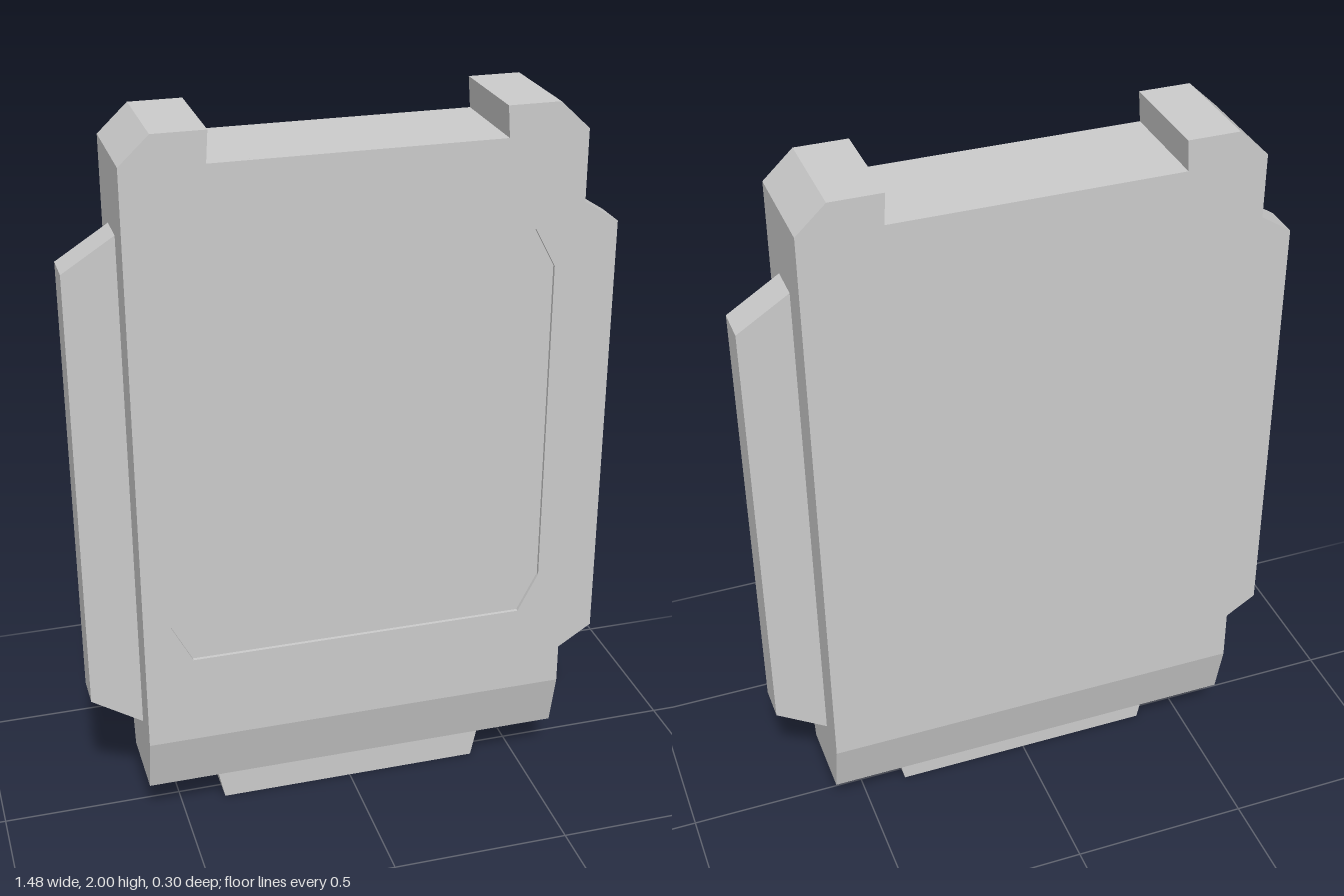
import * as THREE from 'three';

const HALF = 0.148;   // half thickness of the case
const RECESS = 0.01;  // depth of the front panel recess

export function createModel() {
  const model = new THREE.Group();
  model.name = 'case';
  const material = new THREE.MeshStandardMaterial({ color: 0xcccccc, flatShading: true });

  const shapeOf = (points) => new THREE.Shape(points.map(([x, y]) => new THREE.Vector2(x, y)));

  // Closes a half outline (x > 0, listed bottom to top) with its mirror image.
  const mirrored = (half) => [...half, ...half.map(([x, y]) => [-x, y]).reverse()];

  // Extrudes a front-view outline between two z positions.
  const slab = (name, shape, z0, z1) => {
    const geometry = new THREE.ExtrudeGeometry(shape, { depth: z1 - z0, bevelEnabled: false });
    geometry.translate(0, 0, z0);
    const mesh = new THREE.Mesh(geometry, material);
    mesh.name = name;
    model.add(mesh);
    return mesh;
  };

  // Main body with chamfered shoulders and a notch in the top
  const outline = mirrored([
    [0.6, 0.28], [0.6, 1.925], [0.52, 2], [0.38, 2], [0.386, 1.917],
  ]);
  slab('body', shapeOf(outline), -HALF, HALF - RECESS);

  // Front layer, cut out to leave a shallow panel with clipped corners
  const front = shapeOf(outline);
  front.holes.push(shapeOf(mirrored([
    [0.468, 0.535], [0.525, 0.645], [0.525, 1.565], [0.468, 1.672],
  ])));
  slab('frontFrame', front, HALF - RECESS, HALF);

  // Lower edge, narrowing in thickness towards the bottom
  const lower = new THREE.BoxGeometry(1.2, 0.162, HALF * 2);
  const position = lower.attributes.position;
  for (let i = 0; i < position.count; i++) {
    if (position.getY(i) < 0) position.setZ(i, Math.sign(position.getZ(i)) * 0.109);
  }
  lower.translate(0, 0.199, 0);
  lower.computeVertexNormals();
  const lowerEdge = new THREE.Mesh(lower, material);
  lowerEdge.name = 'lowerEdge';
  model.add(lowerEdge);

  // Side rails with sloping ends
  const rail = [[0.6, 0.298], [0.74, 0.388], [0.74, 1.636], [0.6, 1.725]];
  slab('leftRail', shapeOf(rail), -0.05, 0.05);
  slab('rightRail', shapeOf(rail.map(([x, y]) => [-x, y]).reverse()), -0.05, 0.05);

  // Connector tab under the body
  slab('bottomTab', shapeOf(mirrored([[0.375, 0], [0.4, 0.118]])), -0.039, 0.057);

  return model;
}
